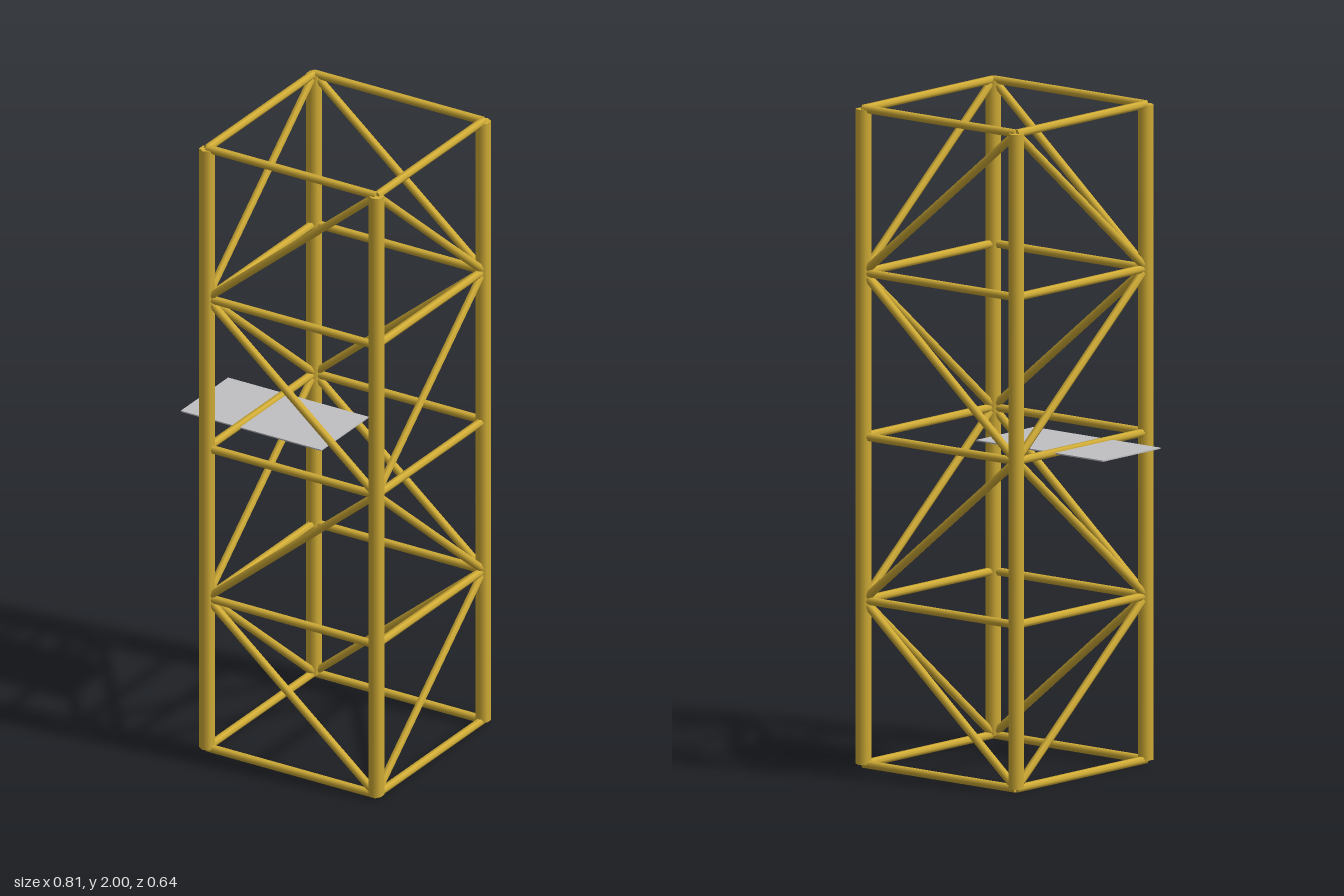
import * as THREE from 'three';

const WIDTH = 0.593;      // spacing between column centres
const HEIGHT = 1.978;     // length of the columns
const BASE = 0.011;       // height of the lowest ring of beams
const BAYS = 4;
const COLUMN_R = 0.0237;
const BEAM_R = 0.0125;
const UP = new THREE.Vector3(0, 1, 0);

// Six-sided bar between two points
function bar(name, a, b, radius, material) {
  const dir = b.clone().sub(a);
  const mesh = new THREE.Mesh(new THREE.CylinderGeometry(radius, radius, dir.length(), 6), material);
  mesh.name = name;
  mesh.position.copy(a).add(b).multiplyScalar(0.5);
  mesh.quaternion.setFromUnitVectors(UP, dir.normalize());
  return mesh;
}

// One side of the tower: horizontal beams and a zigzag of diagonals
function sidePanel(material, side) {
  const panel = new THREE.Group();
  const h = WIDTH / 2;
  const at = (s, level) => new THREE.Vector3(s * h, BASE + (HEIGHT * level) / BAYS, h);
  for (let i = 0; i <= BAYS; i++) {
    panel.add(bar('crossBeam', at(-1, i), at(1, i), BEAM_R, material));
    if (i < BAYS) {
      const s = i % 2 ? -side : side;
      panel.add(bar('diagonalBrace', at(s, i), at(-s, i + 1), BEAM_R, material));
    }
  }
  return panel;
}

export function createModel() {
  const gold = new THREE.MeshStandardMaterial({ color: 0xd4af37 });
  gold.name = 'goldSteel';
  const grey = new THREE.MeshStandardMaterial({ color: 0xc0c0c4 });
  grey.name = 'greyPlate';

  const model = new THREE.Group();
  model.name = 'latticeTower';

  const tower = new THREE.Group();
  tower.name = 'frame';
  tower.position.x = 0.088;
  model.add(tower);

  // Corner columns
  for (const x of [-1, 1]) {
    for (const z of [-1, 1]) {
      const foot = new THREE.Vector3((x * WIDTH) / 2, BASE, (z * WIDTH) / 2);
      const head = foot.clone().setY(BASE + HEIGHT);
      tower.add(bar('cornerColumn', foot, head, COLUMN_R, gold));
    }
  }

  // Four braced sides, neighbouring sides mirrored so braces meet at the corners
  ['frontSide', 'leftSide', 'backSide', 'rightSide'].forEach((name, i) => {
    const panel = sidePanel(gold, i % 2 ? -1 : 1);
    panel.name = name;
    panel.rotation.y = (i * Math.PI) / 2;
    tower.add(panel);
  });

  // Thin platform sticking out at mid height
  const plate = new THREE.Mesh(new THREE.BoxGeometry(0.492, 0.004, 0.263), grey);
  plate.name = 'platform';
  plate.position.set(-0.159, 1, 0);
  model.add(plate);

  return model;
}
